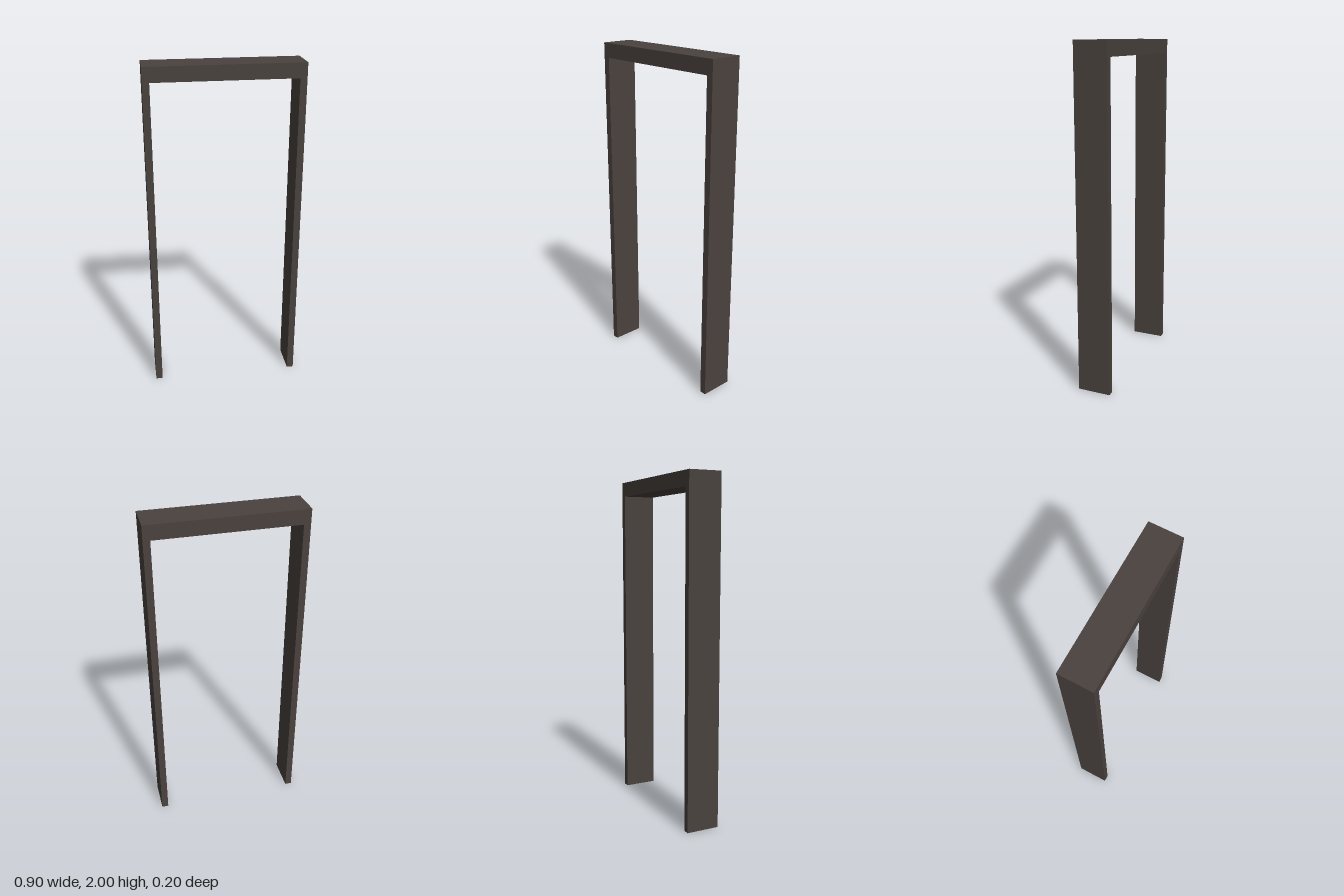
import * as THREE from 'three';

export function createModel() {
  const group = new THREE.Group();
  group.name = 'doorFrame';
  const material = new THREE.MeshStandardMaterial({ color: 0x4a423e });

  const halfWidth = 0.452, innerHalf = 0.412, height = 2, innerTop = 1.914, depth = 0.196;

  // One continuous outline: two jambs joined by the head
  const outline = new THREE.Shape([
    [-halfWidth, 0], [-innerHalf, 0], [-innerHalf, innerTop], [innerHalf, innerTop],
    [innerHalf, 0], [halfWidth, 0], [halfWidth, height], [-halfWidth, height],
  ].map(([x, y]) => new THREE.Vector2(x, y)));

  const geometry = new THREE.ExtrudeGeometry(outline, { depth, bevelEnabled: false });
  geometry.translate(0, 0, -depth / 2);

  const frame = new THREE.Mesh(geometry, material);
  frame.name = 'jambsAndHead';
  group.add(frame);
  return group;
}
